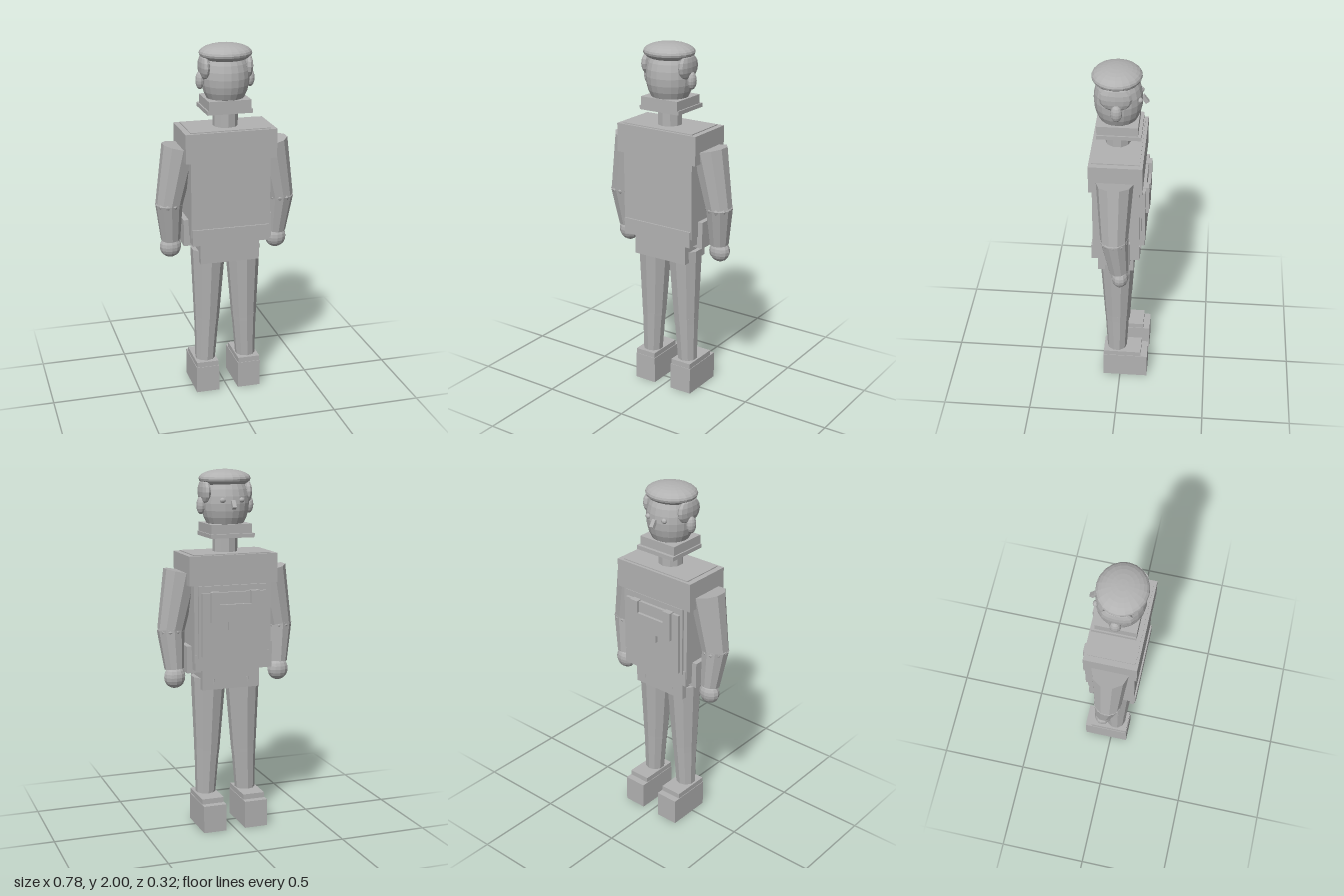
import * as THREE from 'three';

export function createModel() {
  const model = new THREE.Group();
  model.name = 'figure';
  const grey = new THREE.MeshStandardMaterial({ color: 0xb2b2b2, flatShading: true });
  grey.name = 'plain grey';

  function add(name, geometry, parent = model) {
    const mesh = new THREE.Mesh(geometry, grey);
    mesh.name = name;
    parent.add(mesh);
    return mesh;
  }
  // Box given by its limits on each axis
  function box(name, x0, x1, y0, y1, z0, z1, parent) {
    const mesh = add(name, new THREE.BoxGeometry(x1 - x0, y1 - y0, z1 - z0), parent);
    mesh.position.set((x0 + x1) / 2, (y0 + y1) / 2, (z0 + z1) / 2);
    return mesh;
  }
  function ball(name, center, radii, parent, w = 20, h = 14) {
    const mesh = add(name, new THREE.SphereGeometry(1, w, h), parent);
    mesh.position.set(...center);
    mesh.scale.set(...radii);
    return mesh;
  }
  // Tapered limb between two points
  function limb(name, top, bottom, rTop, rBottom, parent) {
    const a = new THREE.Vector3(...top), b = new THREE.Vector3(...bottom);
    const axis = a.clone().sub(b);
    const mesh = add(name, new THREE.CylinderGeometry(rTop, rBottom, axis.length(), 10), parent);
    mesh.position.copy(a).add(b).multiplyScalar(0.5);
    mesh.quaternion.setFromUnitVectors(new THREE.Vector3(0, 1, 0), axis.normalize());
    return mesh;
  }

  // Torso, shoulder yoke and hips
  box('torso', -0.222, 0.222, 0.965, 1.555, -0.108, 0.143);
  box('shoulderYoke', -0.253, 0.253, 1.39, 1.55, -0.124, 0.158);
  box('belt', -0.217, 0.217, 0.92, 1.01, -0.112, 0.152);
  box('hips', -0.167, 0.167, 0.8, 0.93, -0.076, 0.122);

  // Chest armour on the face side
  box('chestBase', -0.2, 0.2, 0.99, 1.385, -0.12, -0.1);
  box('chestPlate', -0.185, 0.185, 1.0, 1.35, -0.137, -0.11);
  const badge = new THREE.Shape();
  [[-0.14, 1.355], [-0.09, 1.355], [-0.09, 1.285], [0.09, 1.285], [0.09, 1.355], [0.14, 1.355],
    [0.14, 1.19], [0.04, 1.19], [0.04, 1.145], [-0.04, 1.145], [-0.04, 1.19], [-0.14, 1.19]]
    .forEach(([x, y], i) => (i ? badge.lineTo(x, y) : badge.moveTo(x, y)));
  add('chestPocket', new THREE.ExtrudeGeometry(badge, { depth: 0.035, bevelEnabled: false })).position.z = -0.154;

  // Neck and collar
  limb('neck', [0, 1.66, 0.022], [0, 1.54, 0.022], 0.068, 0.068);
  box('collarPlate', -0.125, 0.125, 1.638, 1.66, -0.108, 0.125);
  box('jawBlock', -0.117, 0.117, 1.65, 1.71, -0.09, 0.125);

  // Head, facing -z
  ball('head', [0, 1.82, 0.02], [0.131, 0.175, 0.128]);
  ball('hairTop', [0, 1.95, 0.027], [0.143, 0.05, 0.131]);
  const nose = box('nose', -0.011, 0.011, 1.795, 1.84, -0.128, -0.107);
  nose.rotation.x = 0.6;

  for (const s of [-1, 1]) {
    const side = new THREE.Group();
    side.name = s > 0 ? 'leftSide' : 'rightSide';
    model.add(side);

    // Face details
    ball('eye', [s * 0.054, 1.84, -0.096], [0.017, 0.014, 0.014], side, 10, 8);
    ball('ear', [s * 0.139, 1.807, 0.02], [0.024, 0.048, 0.03], side, 12, 8);
    ball('sideHair', [s * 0.118, 1.88, 0.025], [0.028, 0.07, 0.085], side, 12, 8);

    // Arm and hand
    limb('upperArm', [s * 0.255, 1.455, 0.019], [s * 0.318, 1.13, 0.018], 0.098, 0.074, side);
    ball('elbow', [s * 0.318, 1.13, 0.018], [0.074, 0.04, 0.076], side, 10, 8);
    limb('forearm', [s * 0.318, 1.14, 0.018], [s * 0.306, 0.92, -0.006], 0.076, 0.054, side);
    ball('hand', [s * 0.306, 0.875, -0.012], [0.061, 0.062, 0.047], side, 12, 10);

    // Hip pouch
    box('hipPouch', ...(s > 0 ? [0.17, 0.25] : [-0.25, -0.17]), 0.9, 1.05, -0.06, 0.078, side);

    // Leg
    limb('thigh', [s * 0.1, 0.86, 0.02], [s * 0.11, 0.43, 0.02], 0.098, 0.071, side);
    limb('kneeBand', [s * 0.11, 0.45, 0.02], [s * 0.111, 0.41, 0.02], 0.072, 0.07, side);
    limb('shin', [s * 0.111, 0.42, 0.02], [s * 0.12, 0.17, 0.02], 0.069, 0.056, side);

    // Boot with raised instep
    const x = s * 0.122;
    box('boot', x - 0.066, x + 0.066, 0, 0.155, -0.16, 0.098, side);
    box('bootTop', x - 0.063, x + 0.063, 0.15, 0.185, -0.122, 0.095, side);
  }
  return model;
}
